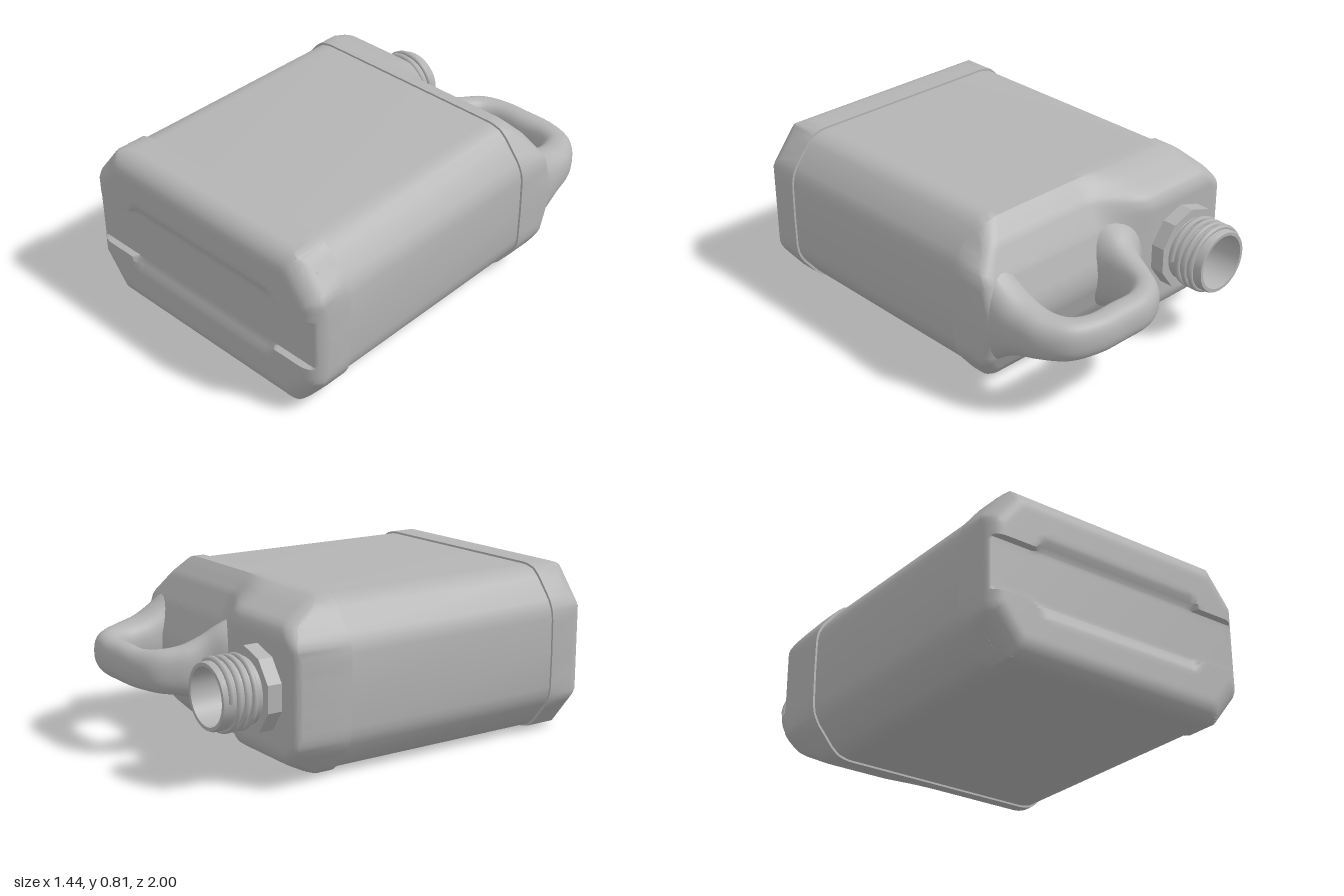
import * as THREE from 'three';
import { toCreasedNormals } from 'three/addons/utils/BufferGeometryUtils.js';

const CY = 0.405, W = 0.722; // half height and half width of the can
const { lerp, smoothstep } = THREE.MathUtils;

// rounded octagon section: [height from the middle, half width]
const SECTION = [[0, W], [0.17, 0.72], [0.215, 0.712], [0.26, 0.69], [0.36, 0.61],
  [0.39, 0.575], [0.403, 0.53], [CY, 0.5]];
// shoulder depth by height, on the neck side and on the handle side
const NECK_SIDE = [[0, -0.66], [0.25, -0.66], [0.28, -0.65], [0.31, -0.63], [0.38, -0.5],
  [0.4, -0.45], [CY, -0.43]];
const HANDLE_SIDE = [[0, -0.62], [0.05, -0.615], [0.2, -0.565], [0.32, -0.5], [0.375, -0.45],
  [CY, -0.42]];
// handle stations: inner x, z, outer x, z, half thickness
const HANDLE = [
  [0.10, -0.45, -0.28, -0.50, 0.26], [0.08, -0.60, -0.19, -0.64, 0.20],
  [0.07, -0.68, -0.10, -0.72, 0.15], [0.07, -0.76, -0.05, -0.83, 0.115],
  [0.09, -0.82, 0.02, -0.94, 0.10], [0.15, -0.86, 0.14, -0.995, 0.09],
  [0.28, -0.862, 0.28, -1, 0.09], [0.42, -0.86, 0.43, -0.995, 0.09],
  [0.48, -0.83, 0.58, -0.94, 0.095], [0.50, -0.76, 0.67, -0.82, 0.105],
  [0.50, -0.68, 0.70, -0.70, 0.13], [0.50, -0.60, 0.717, -0.60, 0.18],
  [0.50, -0.50, 0.716, -0.50, 0.26], [0.50, -0.40, 0.68, -0.42, 0.29]];

function lookup(table, v) {
  for (let i = 1; i < table.length; i++) {
    const [a, p] = table[i - 1], [b, q] = table[i];
    if (v <= b) return lerp(p, q, (v - a) / (b - a));
  }
  return table[table.length - 1][1];
}

// surface from a grid of points
function gridGeometry(rows, cols, pointAt, flip, crease) {
  const pos = [], index = [];
  for (let j = 0; j < rows; j++) {
    for (let i = 0; i < cols; i++) pos.push(...pointAt(i, j));
  }
  for (let j = 0; j < rows - 1; j++) {
    for (let i = 0; i < cols - 1; i++) {
      const a = j * cols + i, b = a + 1, c = b + cols, d = a + cols;
      if (flip) index.push(a, c, b, a, d, c);
      else index.push(a, b, c, a, c, d);
    }
  }
  const g = new THREE.BufferGeometry();
  g.setAttribute('position', new THREE.Float32BufferAttribute(pos, 3));
  g.setIndex(index);
  return toCreasedNormals(g, crease);
}

// end of the can: a depth rule over the section, with a skirt and a small inward lip
function endCap(depthAt, zSkirt, flip) {
  const ys = [-0.2, -0.13, -0.122, 0.122, 0.13, 0.2], ts = [];
  for (let i = 0; i <= 48; i++) ys.push(CY * Math.sin((i / 48 - 0.5) * Math.PI));
  for (let i = 0; i <= 80; i++) ts.push(Math.sin((i / 80 - 0.5) * Math.PI));
  ys.sort((a, b) => a - b);
  const pad = (a) => [a[0], a[0], ...a, a[a.length - 1], a[a.length - 1]];
  const Y = pad(ys), T = pad(ts);
  return gridGeometry(Y.length, T.length, (i, j) => {
    const edge = Math.min(i, j, T.length - 1 - i, Y.length - 1 - j);
    const y = Y[j], v = Math.min(Math.abs(y), CY), x = lookup(SECTION, v) * T[i];
    const k = edge === 0 ? 0.965 : 1;
    return [x * k, y * k + CY, edge < 2 ? zSkirt : depthAt(x, v)];
  }, flip, 0.65);
}

const sideGap = (x, v) =>
  Math.max(0, Math.min(W - Math.abs(x), 0.701 - 0.781 * Math.abs(x) - 0.625 * v));
const bevel = (d, r) => (d < r ? r - Math.sqrt(r * r - (r - d) ** 2) : 0);

// rounded base with a finger groove across it
function baseDepth(x, v) {
  const z = 1 - bevel(Math.min(sideGap(x, v), CY - v), 0.1);
  const wallEnd = lerp(0.2, 0.13, smoothstep(Math.abs(x), 0.42, 0.47));
  return lerp(Math.min(z, 0.972), z, smoothstep(v, 0.121, wallEnd));
}

// convex shoulder under the neck, hollow slope under the handle
function shoulderDepth(x, v) {
  const t = smoothstep(x, -0.25, 0.05);
  return lerp(lookup(NECK_SIDE, v), lookup(HANDLE_SIDE, v), t) + bevel(sideGap(x, v), 0.05);
}

function middleGeometry() {
  const right = [...SECTION].reverse().map(([v, w]) => [w, -v])
    .concat(SECTION.slice(1).map(([v, w]) => [w, v]));
  const left = right.map(([x, y]) => [-x, -y]);
  const shape = new THREE.Shape([...right, ...left].map(
    ([x, y]) => new THREE.Vector2(x * 0.986, y * 0.976)));
  const g = new THREE.ExtrudeGeometry(shape, { depth: 1.17, bevelEnabled: false });
  g.translate(0, CY, -0.37);
  return toCreasedNormals(g, 0.65);
}

// oval sections swept between the inner and outer edge of the handle
function handleGeometry() {
  const inner = new THREE.CatmullRomCurve3(HANDLE.map((p) => new THREE.Vector3(p[0], p[4], p[1])));
  const outer = new THREE.CatmullRomCurve3(HANDLE.map((p) => new THREE.Vector3(p[2], p[4], p[3])));
  const soften = (c) => Math.sign(c) * Math.abs(c) ** 0.85;
  const rows = 79, cols = 29;
  return gridGeometry(rows, cols, (i, j) => {
    const a = inner.getPoint(j / (rows - 1)), b = outer.getPoint(j / (rows - 1));
    const angle = (i % (cols - 1)) / (cols - 1) * Math.PI * 2;
    const k = 0.5 + 0.5 * soften(Math.cos(angle));
    return [lerp(a.x, b.x, k), CY + a.y * soften(Math.sin(angle)), lerp(a.z, b.z, k)];
  }, true, 1.2);
}

class Helix extends THREE.Curve {
  getPoint(t, target = new THREE.Vector3()) {
    const a = t * 3.5 * Math.PI * 2;
    return target.set(0.157 * Math.cos(a), 0.092 + 0.132 * t, 0.157 * Math.sin(a));
  }
}

function lathe(points, sides, crease) {
  const g = new THREE.LatheGeometry(points.map(([r, y]) => new THREE.Vector2(r, y)), sides);
  return toCreasedNormals(g, crease);
}

export function createModel() {
  const model = new THREE.Group();
  model.name = 'canister';
  const plastic = new THREE.MeshStandardMaterial({ color: 0xb4b4b4, side: THREE.DoubleSide });
  plastic.name = 'greyPlastic';
  const add = (parent, name, geometry) => {
    const mesh = new THREE.Mesh(geometry, plastic);
    mesh.name = name;
    parent.add(mesh);
  };

  // can
  add(model, 'body', middleGeometry());
  add(model, 'base', endCap(baseDepth, 0.79, false));
  add(model, 'shoulder', endCap(shoulderDepth, -0.365, true));
  add(model, 'handle', handleGeometry());

  // threaded neck
  const neck = new THREE.Group();
  neck.name = 'neck';
  neck.position.set(-0.43, CY, -0.66);
  neck.rotation.x = -Math.PI / 2;
  model.add(neck);
  add(neck, 'spout', lathe([[0.153, 0], [0.153, 0.25], [0.148, 0.26], [0.132, 0.26],
    [0.13, 0.25], [0.13, 0]], 40, 0.6));
  add(neck, 'collar', lathe([[0.2, -0.01], [0.2, 0.07], [0.15, 0.07]], 10, 0.3));
  add(neck, 'thread', new THREE.TubeGeometry(new Helix(), 160, 0.014, 6));
  return model;
}
